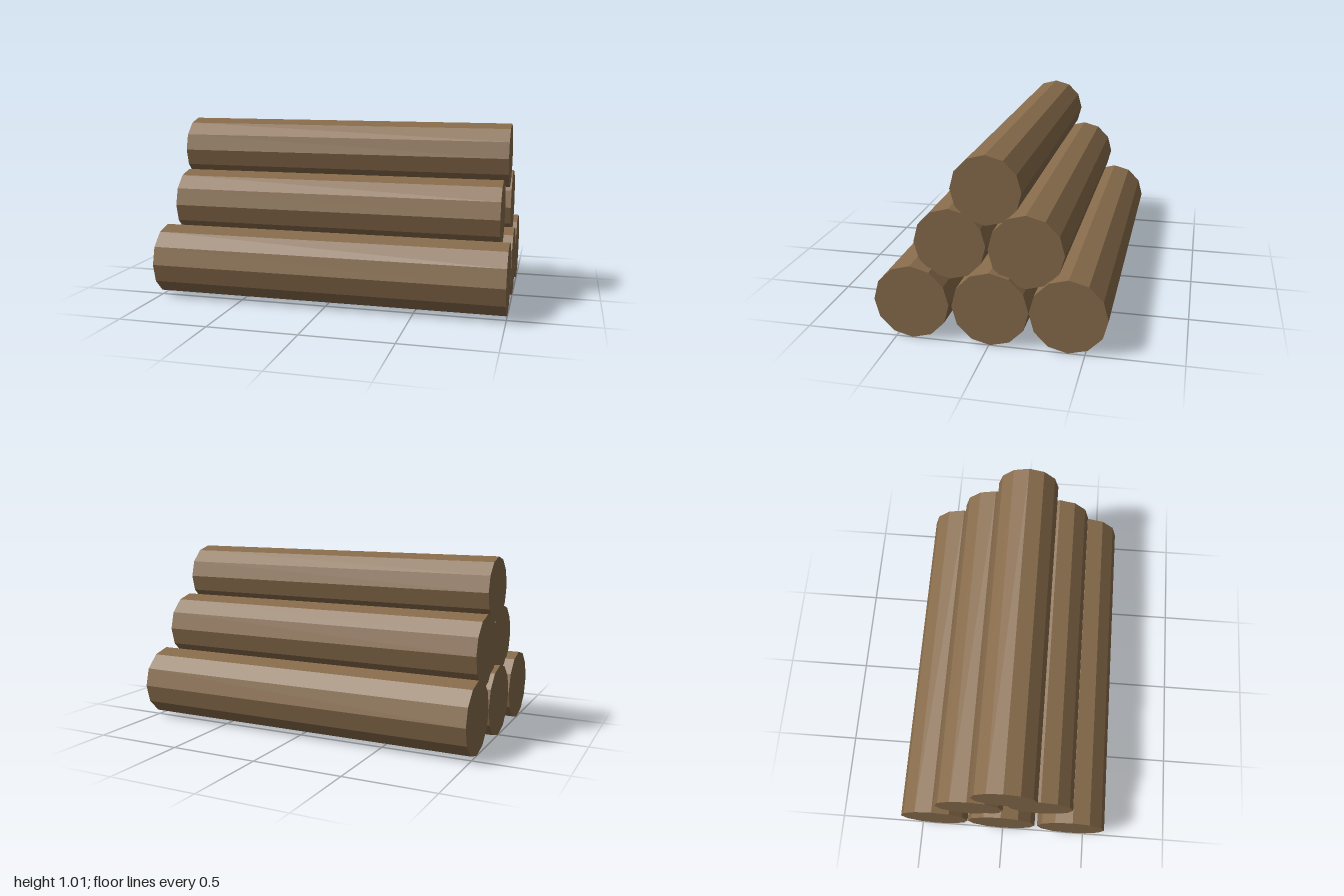
import * as THREE from 'three';

export function createModel() {
  const group = new THREE.Group();
  group.name = 'logPile';
  const wood = new THREE.MeshStandardMaterial({ color: 0x876b4b, flatShading: true });
  wood.name = 'brown wood';

  // Twelve-sided logs lying along x: name, y, z, radius, length
  const logs = [
    ['bottomFrontLog', 0.203, 0.412, 0.202, 2],
    ['bottomMiddleLog', 0.203, -0.007, 0.202, 2],
    ['bottomBackLog', 0.203, -0.412, 0.202, 2],
    ['middleFrontLog', 0.521, 0.214, 0.19, 1.89],
    ['middleBackLog', 0.521, -0.191, 0.196, 1.95],
    ['topLog', 0.827, 0.014, 0.182, 1.934],
  ];
  for (const [name, y, z, radius, length] of logs) {
    const geometry = new THREE.CylinderGeometry(radius, radius, length, 12);
    geometry.rotateZ(Math.PI / 2);
    const log = new THREE.Mesh(geometry, wood);
    log.name = name;
    log.position.set(0, y, z);
    group.add(log);
  }
  return group;
}
